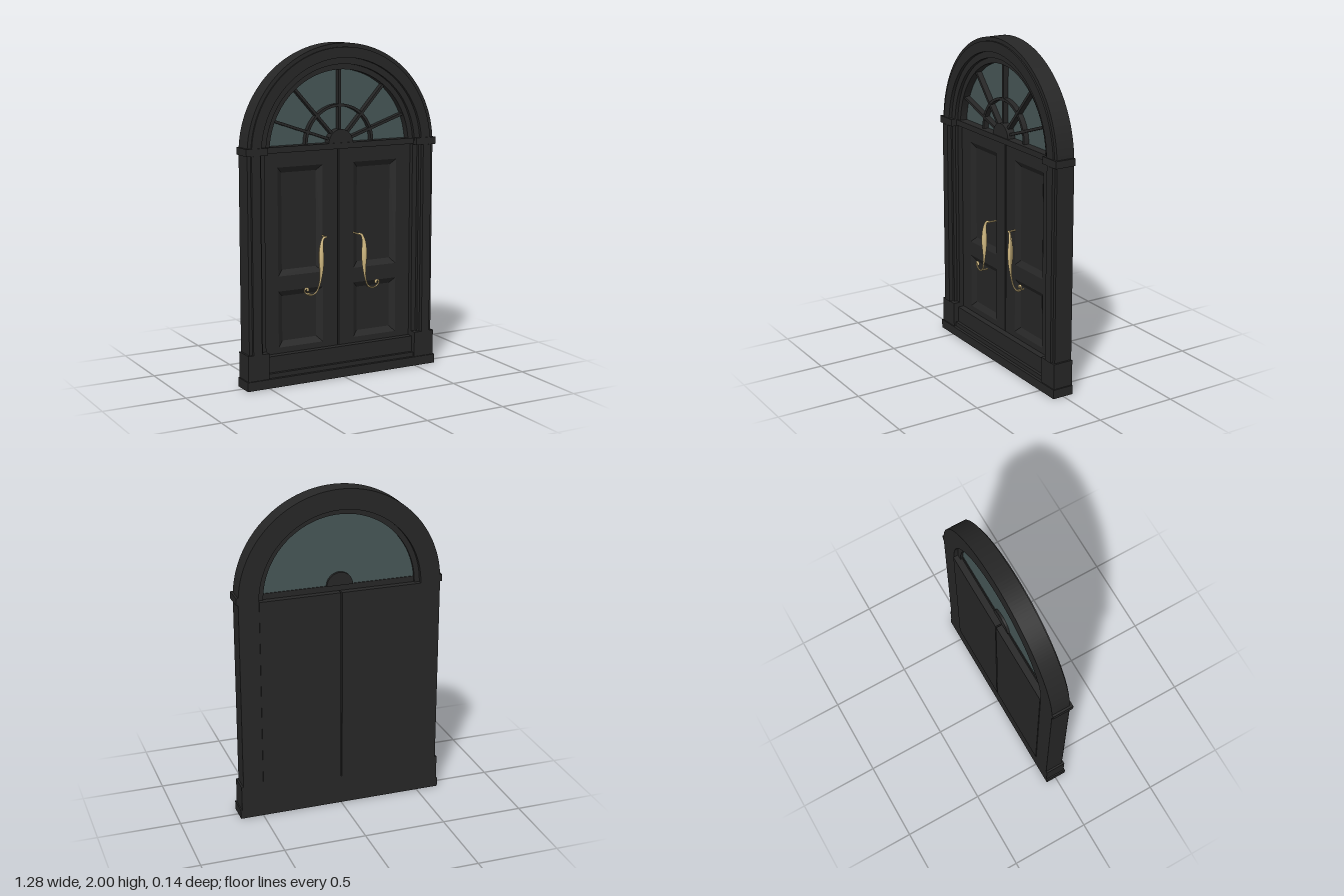
import * as THREE from 'three';

const dark = new THREE.MeshStandardMaterial({ color: 0x262626 });
const glassMat = new THREE.MeshStandardMaterial({ color: 0x465656, side: THREE.DoubleSide });
const brass = new THREE.MeshStandardMaterial({ color: 0xd0b880 });
const SPRING = 1.38; // height of the arch centre
const FAN = 1.415;   // height of the fanlight centre
const BACK = -0.065;
const DOOR_Z = -0.01;

function add(parent, name, geometry, material = dark) {
  const mesh = new THREE.Mesh(geometry, material);
  mesh.name = name;
  parent.add(mesh);
  return mesh;
}

// Box given by its limits on each axis
function block(parent, name, [x0, x1], [y0, y1], [z0, z1]) {
  const mesh = add(parent, name, new THREE.BoxGeometry(x1 - x0, y1 - y0, z1 - z0));
  mesh.position.set((x0 + x1) / 2, (y0 + y1) / 2, (z0 + z1) / 2);
  return mesh;
}

// Upright half ring between two radii
function halfRing(parent, name, r0, r1, y, [z0, z1]) {
  const shape = new THREE.Shape();
  shape.absarc(0, 0, r1, 0, Math.PI, false);
  if (r0 > 0) shape.absarc(0, 0, r0, Math.PI, 0, true);
  shape.closePath();
  const geometry = new THREE.ExtrudeGeometry(shape, { depth: z1 - z0, bevelEnabled: false, curveSegments: 48 });
  add(parent, name, geometry).position.set(0, y, z0);
}

function rectPath(PathType, x0, y0, x1, y1) {
  return new PathType([[x0, y0], [x1, y0], [x1, y1], [x0, y1]].map(p => new THREE.Vector2(...p)));
}

// Sunk panel: four sloping sides running in to a flat floor
function sunkPanel(x0, y0, x1, y1, inset, depth) {
  const ring = (d, z) => [[x0 + d, y0 + d, z], [x1 - d, y0 + d, z], [x1 - d, y1 - d, z], [x0 + d, y1 - d, z]];
  const outer = ring(0, 0), inner = ring(inset, -depth), pos = [];
  const quad = (a, b, c, d) => pos.push(...a, ...b, ...c, ...a, ...c, ...d);
  for (let i = 0; i < 4; i++) {
    const j = (i + 1) % 4;
    quad(outer[i], outer[j], inner[j], inner[i]);
  }
  quad(...inner);
  const geometry = new THREE.BufferGeometry();
  geometry.setAttribute('position', new THREE.Float32BufferAttribute(pos, 3));
  geometry.computeVertexNormals();
  return geometry;
}

// Curved pull: a tube that swells in the grip and tapers to a curl
function handleGeometry(side) {
  const path = new THREE.CatmullRomCurve3([
    [0.105, 0.862, 0.035], [0.128, 0.858, 0.042], [0.143, 0.82, 0.047], [0.146, 0.74, 0.049],
    [0.146, 0.66, 0.049], [0.155, 0.59, 0.047], [0.175, 0.54, 0.044], [0.205, 0.523, 0.042],
    [0.238, 0.532, 0.04], [0.253, 0.553, 0.04], [0.243, 0.567, 0.04], [0.231, 0.56, 0.04],
    [0.233, 0.549, 0.04],
  ].map(([x, y, z]) => new THREE.Vector3(x * side, y, z)));
  const rings = 90, sides = 12;
  const geometry = new THREE.TubeGeometry(path, rings, 1, sides);
  const pos = geometry.attributes.position, v = new THREE.Vector3(), c = new THREE.Vector3();
  for (let i = 0; i < pos.count; i++) {
    const t = Math.floor(i / (sides + 1)) / rings;
    path.getPointAt(t, c);
    const r = 0.0045 + 0.0125 * Math.exp(-(((t - 0.3) / 0.2) ** 2)) + 0.003 * Math.exp(-(((t - 0.98) / 0.04) ** 2));
    v.fromBufferAttribute(pos, i).sub(c).multiplyScalar(r).add(c);
    pos.setXYZ(i, v.x, v.y, v.z);
  }
  geometry.computeVertexNormals();
  return geometry;
}

function createDoor(side) {
  const door = new THREE.Group();
  door.name = side > 0 ? 'leftDoor' : 'rightDoor';
  const span = (a, b) => (side > 0 ? [a, b] : [-b, -a]);
  const [x0, x1] = span(0.004, 0.497);
  const [p0, p1] = span(0.105, 0.4);
  const panels = [[0.215, 0.555], [0.645, 1.29]];

  block(door, 'doorBack', [x0, x1], [0.18, SPRING], [-0.07, DOOR_Z - 0.026]);
  const face = rectPath(THREE.Shape, x0, 0.18, x1, SPRING);
  for (const [y0, y1] of panels) face.holes.push(rectPath(THREE.Path, p0, y0, p1, y1));
  add(door, 'doorFrame', new THREE.ExtrudeGeometry(face, { depth: 0.026, bevelEnabled: false }))
    .position.z = DOOR_Z - 0.026;
  for (const [y0, y1] of panels) {
    add(door, 'sunkPanel', sunkPanel(p0, y0, p1, y1, 0.034, 0.022)).position.z = DOOR_Z;
  }

  // Pull and the two posts that hold it
  add(door, 'handle', handleGeometry(side), brass);
  for (const [x, y] of [[0.107, 0.862], [0.205, 0.523]]) {
    const post = add(door, 'handlePost', new THREE.CylinderGeometry(0.005, 0.005, 0.05, 10), brass);
    post.rotation.x = Math.PI / 2;
    post.position.set(x * side, y, 0.015);
  }
  return door;
}

function createJamb(side) {
  const jamb = new THREE.Group();
  jamb.name = side > 0 ? 'leftJamb' : 'rightJamb';
  const span = (a, b) => (side > 0 ? [a, b] : [-b, -a]);
  block(jamb, 'plinth', span(0.497, 0.632), [0.055, 0.21], [BACK, 0.062]);
  block(jamb, 'impost', span(0.497, 0.632), [1.375, 1.418], [BACK, 0.065]);
  // Stepped moulding, from the outside in
  for (const [a, b, z] of [[0.6, 0.62, 0.05], [0.545, 0.6, 0.067], [0.528, 0.545, 0.04], [0.497, 0.528, 0.02]]) {
    block(jamb, 'jambMoulding', span(a, b), [0.21, 1.375], [BACK, z]);
  }
  return jamb;
}

function createFanlight() {
  const fan = new THREE.Group();
  fan.name = 'fanlight';
  add(fan, 'glass', new THREE.CircleGeometry(0.475, 64, 0, Math.PI), glassMat).position.set(0, SPRING, -0.025);
  halfRing(fan, 'hub', 0, 0.08, FAN, [-0.04, 0.025]);
  halfRing(fan, 'innerBar', 0.212, 0.228, FAN, [-0.024, 0.008]);
  for (const degrees of [19, 48, 90, 132, 161]) {
    const a = THREE.MathUtils.degToRad(degrees);
    // Run each bar out to the arch, whose centre lies a little lower
    const drop = FAN - SPRING;
    const end = -drop * Math.sin(a) + Math.sqrt(0.47 ** 2 - (drop * Math.cos(a)) ** 2);
    const bar = add(fan, 'radialBar', new THREE.BoxGeometry(end - 0.07, 0.016, 0.034));
    const mid = (end + 0.07) / 2;
    bar.position.set(mid * Math.cos(a), FAN + mid * Math.sin(a), -0.007);
    bar.rotation.z = a;
  }
  return fan;
}

export function createModel() {
  const model = new THREE.Group();
  model.name = 'archedDoubleDoor';

  // Base step and threshold
  block(model, 'baseStep', [-0.64, 0.64], [0, 0.055], [BACK, 0.069]);
  block(model, 'thresholdStep', [-0.497, 0.497], [0.055, 0.082], [BACK, 0.05]);
  block(model, 'threshold', [-0.497, 0.497], [0.082, 0.18], [BACK, 0.03]);

  for (const side of [1, -1]) {
    model.add(createJamb(side));
    model.add(createDoor(side));
  }

  // Transom and stepped arch
  block(model, 'transom', [-0.497, 0.497], [SPRING, FAN], [-0.03, 0.03]);
  for (const [r0, r1, z0, z1] of [
    [0.597, 0.62, BACK, 0.05], [0.535, 0.597, BACK, 0.06],
    [0.497, 0.535, BACK, 0.04], [0.465, 0.497, -0.04, 0.02],
  ]) halfRing(model, 'archMoulding', r0, r1, SPRING, [z0, z1]);

  model.add(createFanlight());
  return model;
}
